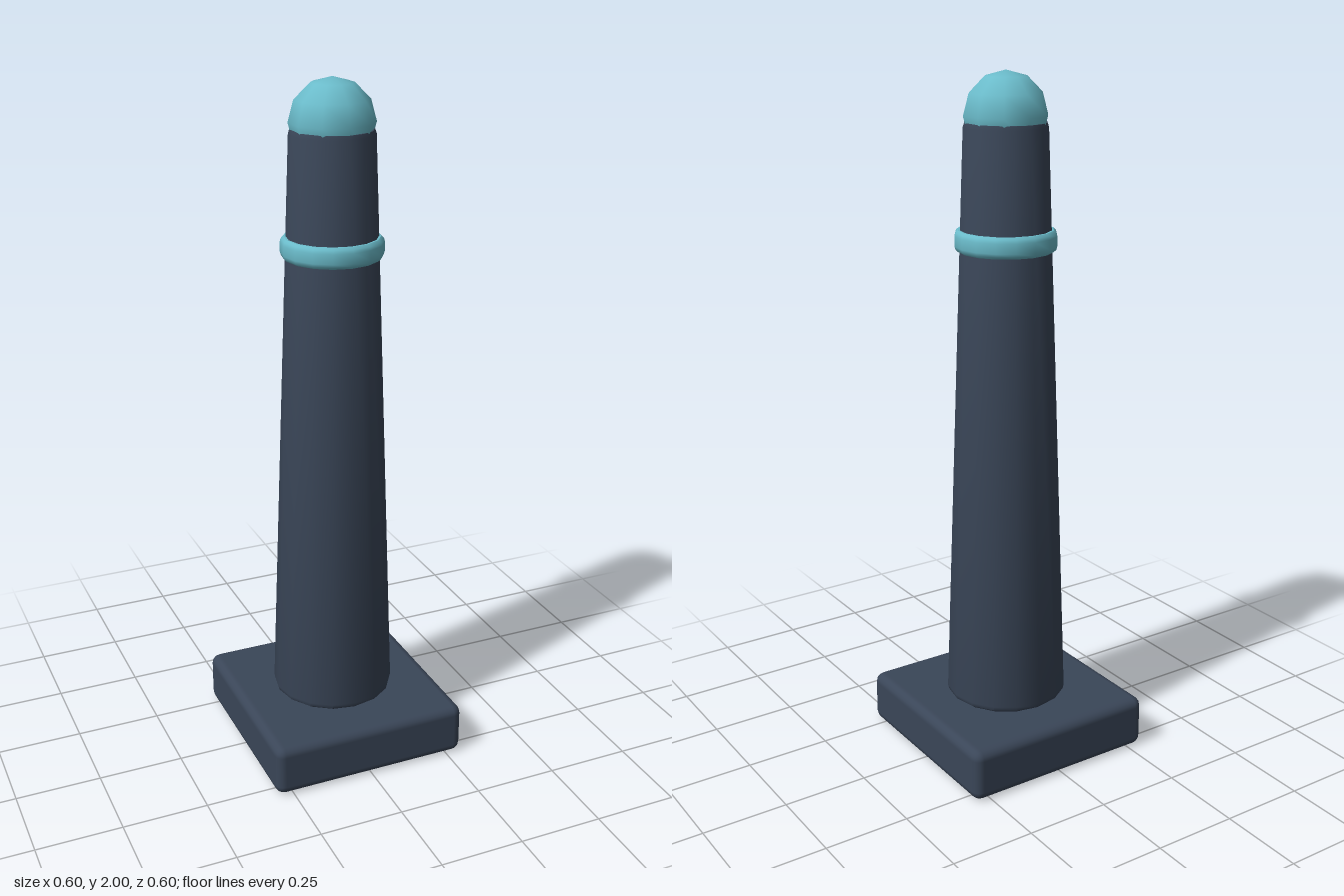
import * as THREE from 'three';
import { RoundedBoxGeometry } from 'three/addons/geometries/RoundedBoxGeometry.js';
import { toCreasedNormals } from 'three/addons/utils/BufferGeometryUtils.js';

const SIDES = 16;
const dark = new THREE.MeshStandardMaterial({ color: 0x3a4658 });
const teal = new THREE.MeshStandardMaterial({ color: 0x6bbccb });

// Turned part from [radius, height] pairs, listed from the bottom up
function turned(profile) {
  const points = profile.map(([r, y]) => new THREE.Vector2(r, y));
  return toCreasedNormals(new THREE.LatheGeometry(points, SIDES), 0.7);
}

export function createModel() {
  const group = new THREE.Group();
  const add = (name, geometry, material, y = 0) => {
    const mesh = new THREE.Mesh(geometry, material);
    mesh.name = name;
    mesh.position.y = y;
    group.add(mesh);
    return mesh;
  };

  // Square foot with softened edges
  add('base', new RoundedBoxGeometry(0.6, 0.156, 0.6, 2, 0.028), dark, 0.078);

  // Tapered post with small bevels at both ends
  add('post', turned([
    [0, 0.156], [0.168, 0.156], [0.177, 0.163], [0.18, 0.176],
    [0.119, 1.85], [0.115, 1.862], [0, 1.865],
  ]), dark);

  // Bevelled collar around the upper post
  add('collar', turned([
    [0.12, 1.51], [0.135, 1.51], [0.142, 1.516], [0.145, 1.526],
    [0.145, 1.554], [0.142, 1.564], [0.135, 1.57], [0.12, 1.57], [0.12, 1.51],
  ]), teal);

  // Coarse, smooth-shaded ball set into the top
  add('cap', new THREE.SphereGeometry(0.12, 10, 6), teal, 1.88).rotation.y = Math.PI / 2;

  return group;
}
